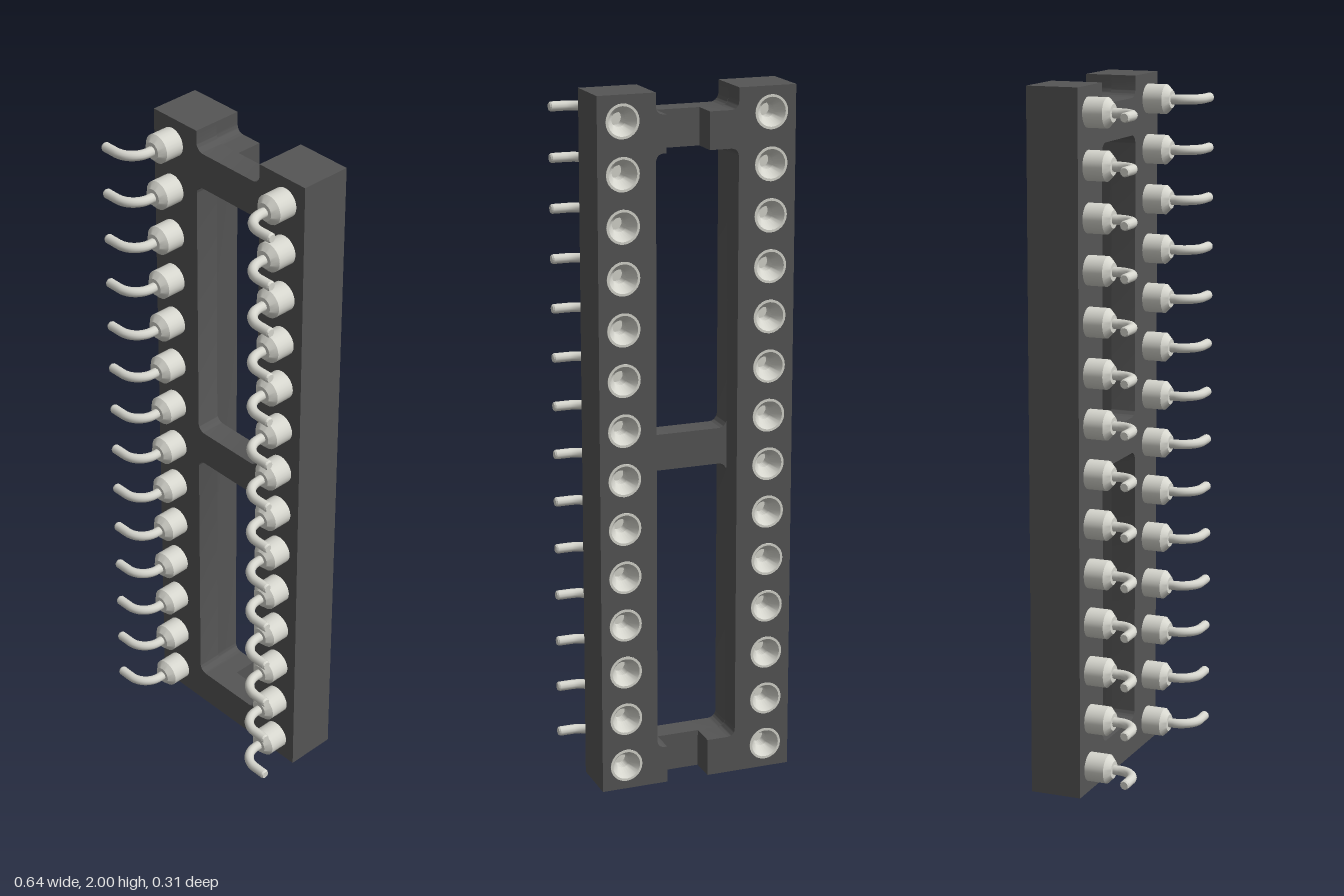
import * as THREE from 'three';
import { toCreasedNormals } from 'three/addons/utils/BufferGeometryUtils.js';

const W = 0.287, IN = 0.12, H = 2, R = 0.025;          // half width, window half width, height, fillet
const BACK = -0.157, STEP = -0.08, FRONT = -0.007;     // body depth levels
const PIN_X = 0.215, ROWS = 14, ROW0 = 0.072, PITCH = 0.1428;
const rowY = (i) => ROW0 + i * PITCH;

// Rounded rectangular window
function windowPath(y0, y1) {
  const p = new THREE.Path();
  p.moveTo(-IN + R, y0);
  p.absarc(IN - R, y0 + R, R, -Math.PI / 2, 0);
  p.absarc(IN - R, y1 - R, R, 0, Math.PI / 2);
  p.absarc(-IN + R, y1 - R, R, Math.PI / 2, Math.PI);
  p.absarc(-IN + R, y0 + R, R, Math.PI, Math.PI * 1.5);
  return p;
}

function extrude(shape, z0, z1) {
  const g = new THREE.ExtrudeGeometry(shape, { depth: z1 - z0, bevelEnabled: false, curveSegments: 8 });
  g.translate(0, 0, z0);
  return toCreasedNormals(g, 0.6);
}

// Front half of the frame: rails joined by three crossbars, open notch on top
function frameShape() {
  const s = new THREE.Shape();
  s.moveTo(-W, 0);
  s.lineTo(W, 0);
  s.lineTo(W, H);
  s.lineTo(IN, H);
  s.absarc(IN - R, 1.94 + R, R, 0, -Math.PI / 2, true);
  s.absarc(-IN + R, 1.94 + R, R, -Math.PI / 2, -Math.PI, true);
  s.lineTo(-IN, H);
  s.lineTo(-W, H);
  s.closePath();
  s.holes.push(windowPath(0.11, 0.92), windowPath(1.025, 1.835));
  return s;
}

// Back half of one rail, with the blocks reaching inwards at both end bars
function railShape(side, reach) {
  const s = new THREE.Shape();
  const line = (x, y) => s.lineTo(side * x, y);
  const fillet = (x, y, cx, cy) => s.quadraticCurveTo(side * cx, cy, side * x, y);
  s.moveTo(side * W, 0);
  line(W, H);
  line(IN, H);
  line(IN, 1.94 + R);
  fillet(IN - R, 1.94, IN, 1.94);
  line(reach, 1.94);
  line(reach, 1.835);
  line(IN - R, 1.835);
  fillet(IN, 1.835 - R, IN, 1.835);
  line(IN, 0.11 + R);
  fillet(IN - R, 0.11, IN, 0.11);
  line(reach, 0.11);
  line(reach, 0);
  s.closePath();
  for (let i = 0; i < ROWS; i++) {
    const hole = new THREE.Path();
    hole.absarc(side * PIN_X, rowY(i), 0.047, 0, Math.PI * 2);
    s.holes.push(hole);
  }
  return s;
}

// Turned socket: funnel at the back, chamfered sleeve at the front
function socketGeometry() {
  const profile = [
    [0, -0.09], [0.02, -0.09], [0.02, -0.125], [0.041, -0.159], [0.048, -0.159], [0.048, -0.154],
    [0.042, -0.15], [0.042, 0.05], [0.025, 0.067], [0, 0.067],
  ].map(([r, z]) => new THREE.Vector2(r, z));
  const g = new THREE.LatheGeometry(profile, 24);
  g.rotateX(Math.PI / 2);
  return toCreasedNormals(g, 0.5);
}

// Lead wire leaving the sleeve and bending outwards (+x)
function wireGeometry() {
  const v = (x, z) => new THREE.Vector3(x, 0, z);
  const path = new THREE.CurvePath();
  path.add(new THREE.LineCurve3(v(0, 0.06), v(0, 0.081)));
  path.add(new THREE.CubicBezierCurve3(v(0, 0.081), v(0, 0.114), v(0.027, 0.141), v(0.06, 0.141)));
  path.add(new THREE.LineCurve3(v(0.06, 0.141), v(0.101, 0.141)));
  return new THREE.TubeGeometry(path, 22, 0.014, 12);
}

export function createModel() {
  const model = new THREE.Group();
  model.name = 'pinSocketStrip';
  const plastic = new THREE.MeshStandardMaterial({ color: 0x555555 });
  const metal = new THREE.MeshStandardMaterial({ color: 0xd6d6ce });
  const add = (parent, geometry, material, name) => {
    const mesh = new THREE.Mesh(geometry, material);
    mesh.name = name;
    parent.add(mesh);
    return mesh;
  };

  // Body
  const body = new THREE.Group();
  body.name = 'body';
  add(body, extrude(frameShape(), STEP, FRONT), plastic, 'frame');
  add(body, extrude(railShape(1, 0.09), BACK, STEP), plastic, 'leftRail');
  add(body, extrude(railShape(-1, 0.035), BACK, STEP), plastic, 'rightRail');
  model.add(body);

  // Pins, two rows with leads pointing outwards
  const socket = socketGeometry();
  const wire = wireGeometry();
  const tip = toCreasedNormals(new THREE.CylinderGeometry(0.011, 0.014, 0.005, 12), 0.5);
  tip.rotateZ(-Math.PI / 2);
  for (const side of [1, -1]) {
    for (let i = 0; i < ROWS; i++) {
      const pin = new THREE.Group();
      pin.name = side > 0 ? 'leftPin' : 'rightPin';
      add(pin, socket, metal, 'socket');
      add(pin, wire, metal, 'lead');
      add(pin, tip, metal, 'leadTip').position.set(0.1035, 0, 0.141);
      pin.position.set(side * PIN_X, rowY(i), 0);
      if (side < 0) pin.rotation.z = Math.PI;
      model.add(pin);
    }
  }
  return model;
}
